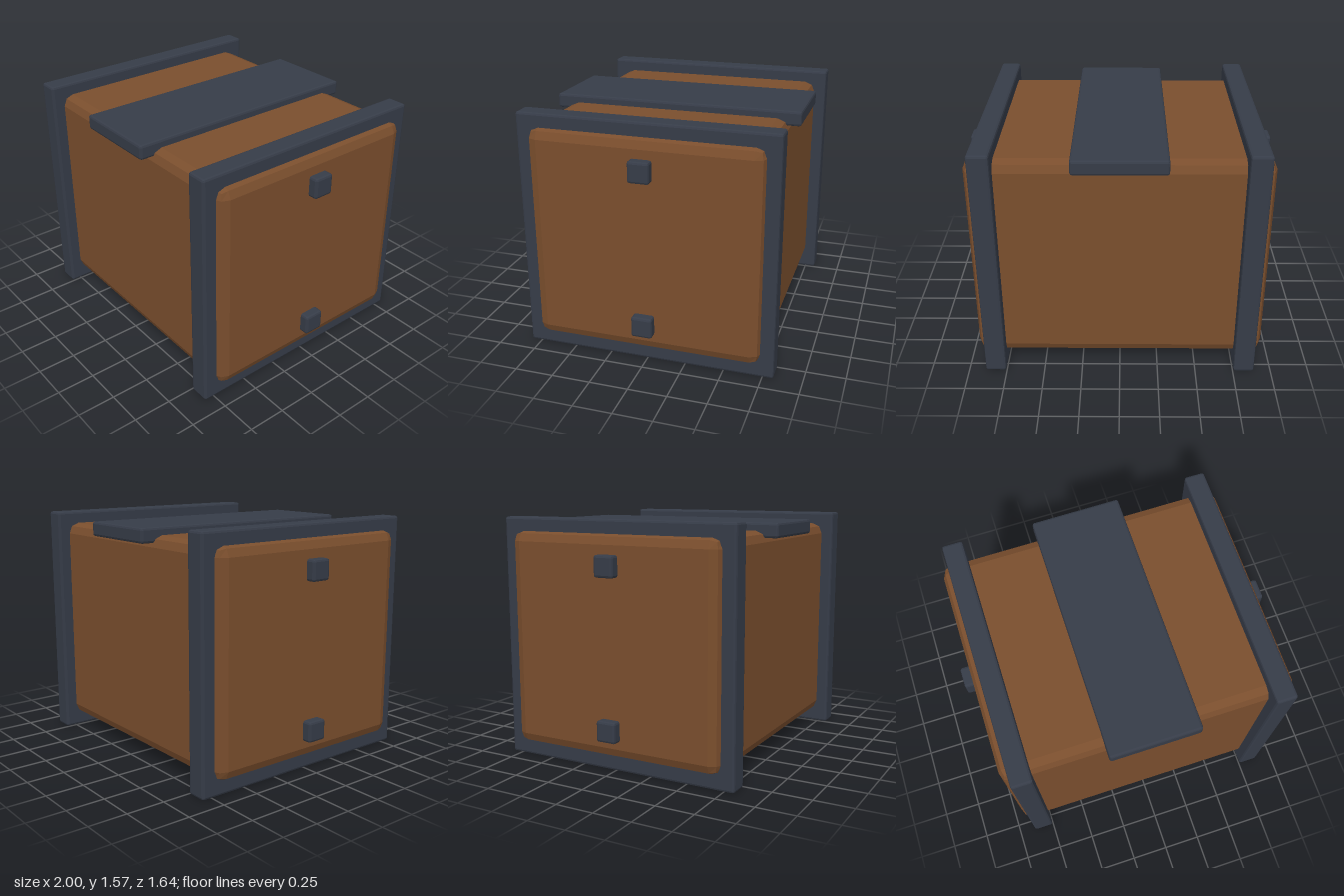
import * as THREE from 'three';
import { RoundedBoxGeometry } from 'three/addons/geometries/RoundedBoxGeometry.js';

const wood = new THREE.MeshStandardMaterial({ color: 0x7a4e2d });
wood.name = 'brown wood';
const iron = new THREE.MeshStandardMaterial({ color: 0x363c48 });
iron.name = 'dark iron';

// Box with a two-facet bevel and flat faces
function bevelBox(name, material, size, position, bevel) {
  let geometry = new RoundedBoxGeometry(...size, 1, bevel);
  if (geometry.index) geometry = geometry.toNonIndexed();
  geometry.computeVertexNormals();
  const mesh = new THREE.Mesh(geometry, material);
  mesh.name = name;
  mesh.position.set(...position);
  return mesh;
}

export function createModel() {
  const crate = new THREE.Group();
  crate.name = 'crate';

  // Wooden body
  crate.add(bevelBox('body', wood, [1.88, 1.4, 1.48], [0, 0.79, 0], 0.07));

  // Strap plate across the top
  crate.add(bevelBox('topPlate', iron, [0.585, 0.095, 1.64], [0, 1.493, 0], 0.015));

  for (const [side, s] of [['left', 1], ['right', -1]]) {
    // Band around each end
    crate.add(bevelBox(side + 'Band', iron, [0.135, 1.57, 1.64], [s * 0.822, 0.785, 0], 0.015));
    // Studs on each end face
    for (const [level, y] of [['Lower', 0.278], ['Upper', 1.295]]) {
      crate.add(bevelBox(side + level + 'Stud', iron, [0.135, 0.135, 0.135], [s * 0.9325, y, 0], 0.015));
    }
  }
  return crate;
}
